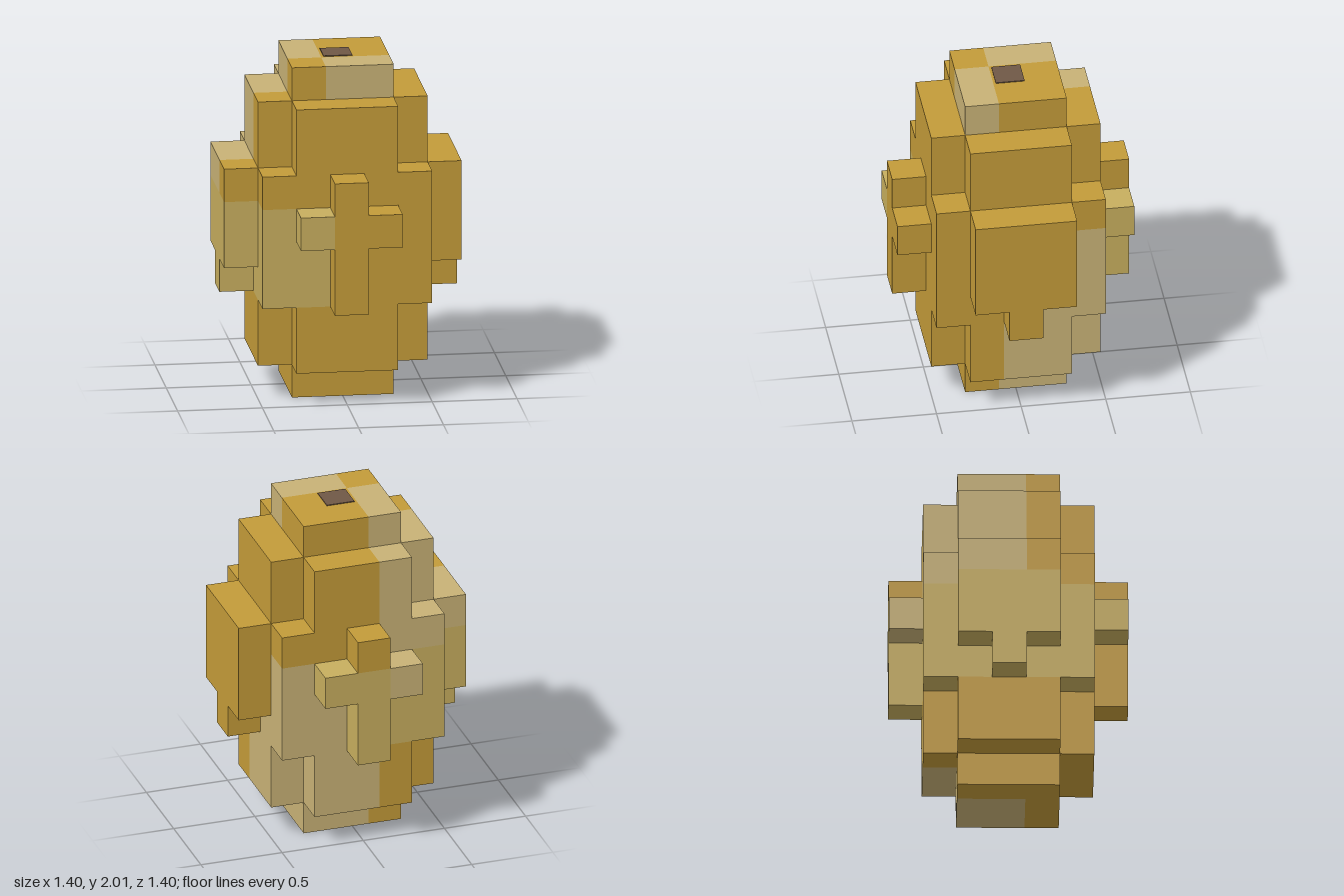
import * as THREE from 'three';

const CELL = 0.2;

const flat = (name, color) => {
  const m = new THREE.MeshStandardMaterial({ color });
  m.name = name;
  return m;
};

export function createModel() {
  const group = new THREE.Group();
  group.name = 'blockEgg';

  const G = flat('gold', 0xc39b39);
  const Y = flat('straw', 0xc7ae5e);
  const T = flat('tan', 0xc8b276);
  const brown = flat('brown', 0x6f5846);

  // The paint changes on a coarse grid; these are its cut planes, in cells
  const cutsX = [-3.5, -0.5, 2.5, 3.5];
  const cutsY = [0, 3, 6, 9, 10];
  const cutsZ = [-3.5, -2.5, 0.5, 3.5];

  // paint[y][z][x]: bottom to top, back to front, right to left
  const paint = [
    [[G, G, G], [G, T, G], [G, G, G]],
    [[T, Y, G], [Y, T, G], [Y, G, G]],
    [[G, G, G], [T, G, G], [G, G, G]],
    [[G, G, G], [T, G, G], [G, T, G]],
  ];

  // Pieces of the span a..b between cut planes, with the band index
  const pieces = (a, b, cuts) => {
    const out = [];
    for (let i = 0; i < cuts.length - 1; i++) {
      const lo = Math.max(a, cuts[i]), hi = Math.min(b, cuts[i + 1]);
      if (hi > lo) out.push([lo, hi, i]);
    }
    return out;
  };

  // One solid block, given by its limits in cells, split where the paint changes
  const block = (name, x0, x1, y0, y1, z0, z1) => {
    const part = new THREE.Group();
    part.name = name;
    for (const [xa, xb, i] of pieces(x0, x1, cutsX))
      for (const [ya, yb, j] of pieces(y0, y1, cutsY))
        for (const [za, zb, k] of pieces(z0, z1, cutsZ)) {
          const geo = new THREE.BoxGeometry((xb - xa) * CELL, (yb - ya) * CELL, (zb - za) * CELL);
          const mesh = new THREE.Mesh(geo, paint[j][k][i]);
          mesh.name = name + 'Block';
          mesh.position.set((xa + xb) / 2, (ya + yb) / 2, (za + zb) / 2).multiplyScalar(CELL);
          part.add(mesh);
        }
    group.add(part);
  };

  // Bottom, wide middle and top
  block('base', -1.5, 1.5, 0, 1, -1.5, 1.5);
  block('middle', -2.5, 2.5, 3, 7, -2.5, 2.5);
  block('cap', -1.5, 1.5, 9, 10, -1.5, 1.5);

  // Plus-shaped tiers below and above the middle
  for (const [name, y0, y1] of [['lowerTier', 1, 3], ['upperTier', 7, 9]]) {
    block(name, -2.5, 2.5, y0, y1, -1.5, 1.5);
    block(name + 'Front', -1.5, 1.5, y0, y1, 1.5, 2.5);
    block(name + 'Back', -1.5, 1.5, y0, y1, -2.5, -1.5);
  }

  // Raised crosses on the front and back
  for (const [name, z0, z1] of [['frontCross', 2.5, 3.5], ['backCross', -3.5, -2.5]]) {
    block(name + 'Post', -0.5, 0.5, 3, 7, z0, z1);
    block(name + 'LeftArm', 0.5, 1.5, 5, 6, z0, z1);
    block(name + 'RightArm', -1.5, -0.5, 5, 6, z0, z1);
  }

  // Side panels, each with a short stem beneath
  for (const [name, x0, x1] of [['leftPanel', 2.5, 3.5], ['rightPanel', -3.5, -2.5]]) {
    block(name, x0, x1, 4, 7, -1.5, 1.5);
    block(name + 'Stem', x0, x1, 3, 4, -0.5, 0.5);
  }

  // Thin stalk plate on top
  const stalk = new THREE.Mesh(new THREE.BoxGeometry(0.17, 0.006, 0.17), brown);
  stalk.name = 'stalkPlate';
  stalk.position.y = 2.002;
  group.add(stalk);

  return group;
}
